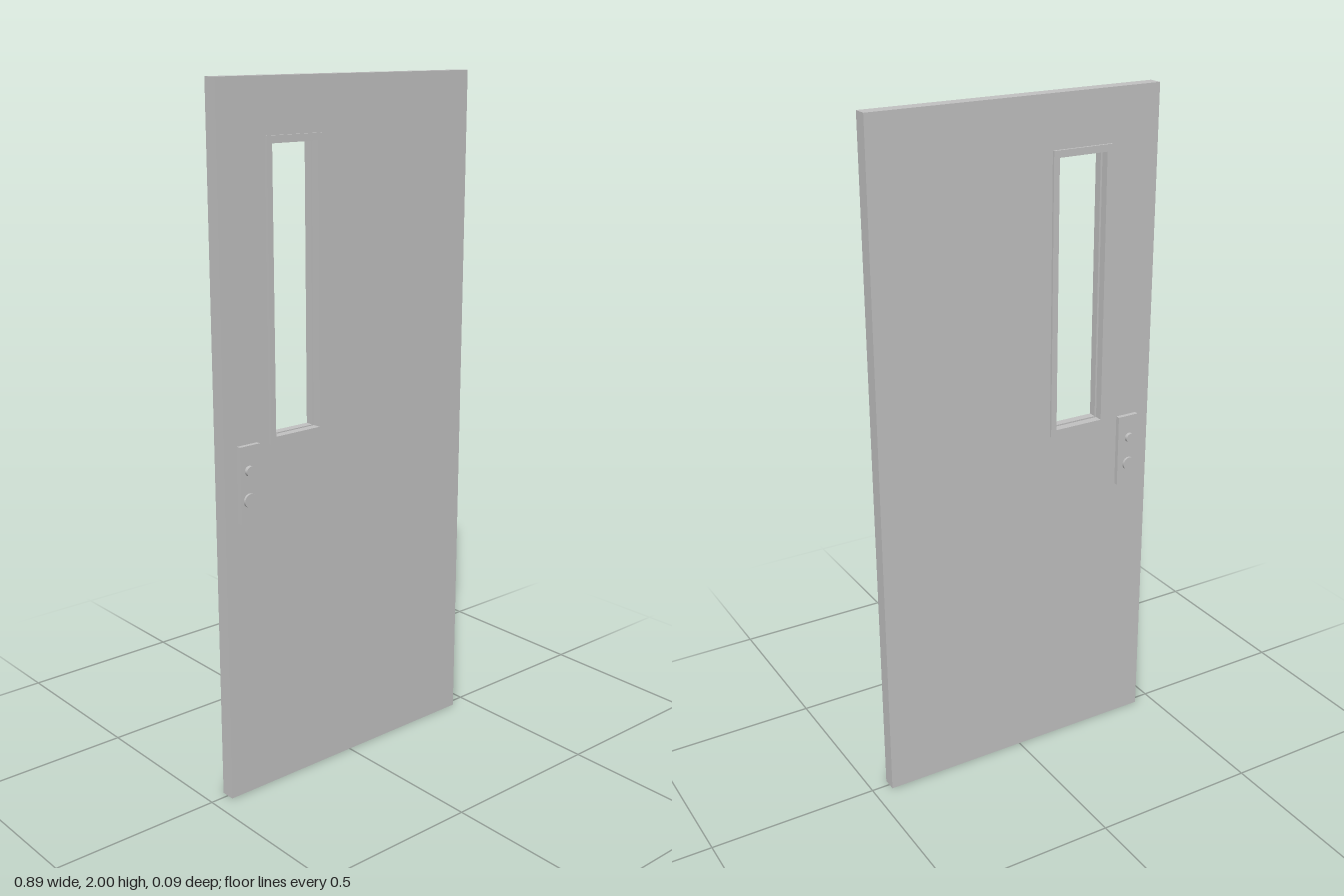
import * as THREE from 'three';

// Rectangular ring or panel, extruded along z from z0 to z1
function panel(outer, hole, z0, z1) {
  const trace = (path, [x0, x1, y0, y1]) => {
    path.moveTo(x0, y0);
    path.lineTo(x1, y0);
    path.lineTo(x1, y1);
    path.lineTo(x0, y1);
    path.closePath();
    return path;
  };
  const shape = trace(new THREE.Shape(), outer);
  if (hole) shape.holes.push(trace(new THREE.Path(), hole));
  const geometry = new THREE.ExtrudeGeometry(shape, { depth: z1 - z0, bevelEnabled: false });
  return geometry.translate(0, 0, z0);
}

export function createModel() {
  const steel = new THREE.MeshStandardMaterial({ color: 0xc0c0c0 });
  steel.name = 'light grey steel';

  const model = new THREE.Group();
  model.name = 'door';
  const add = (parent, name, geometry) => {
    const mesh = new THREE.Mesh(geometry, steel);
    mesh.name = name;
    parent.add(mesh);
    return mesh;
  };

  const T = 0.021; // half thickness of the door leaf
  const opening = [-0.272, -0.119, 1.045, 1.83];
  const cutout = [-0.28, -0.111, 1.037, 1.838];
  const flange = [-0.29, -0.101, 1.026, 1.85];

  // Door leaf with the window cut-out
  add(model, 'doorLeaf', panel([-0.444, 0.444, 0, 2], cutout, -T, T));

  // Matching window frame and lock hardware on both faces
  for (const side of ['front', 'back']) {
    const face = new THREE.Group();
    face.name = side + 'Face';

    // Window frame: flange on the surface, sleeve inside with a glazing slot at mid depth
    add(face, 'windowFlange', panel(flange, opening, T, 0.028));
    add(face, 'windowSleeve', panel(cutout, opening, 0.004, T));

    // Lock plate with a cylinder and a larger button
    add(face, 'lockPlate', panel([-0.4, -0.333, 0.822, 1.04], null, T, 0.0345));
    for (const [name, y, radius, top] of [
      ['lockCylinder', 0.97, 0.0145, 0.045],
      ['lockButton', 0.886, 0.02, 0.0415],
    ]) {
      const depth = top - 0.03;
      const knob = new THREE.CylinderGeometry(radius, radius, depth, 32).rotateX(Math.PI / 2);
      add(face, name, knob.translate(-0.371, y, 0.03 + depth / 2));
    }

    // Turn the back set around, keeping it on the same door edge
    if (side === 'back') {
      face.rotation.y = Math.PI;
      face.position.x = 0;
      face.children.forEach((mesh) => {
        const box = new THREE.Box3().setFromBufferAttribute(mesh.geometry.attributes.position);
        mesh.position.x = -(box.min.x + box.max.x);
      });
    }
    model.add(face);
  }

  return model;
}
